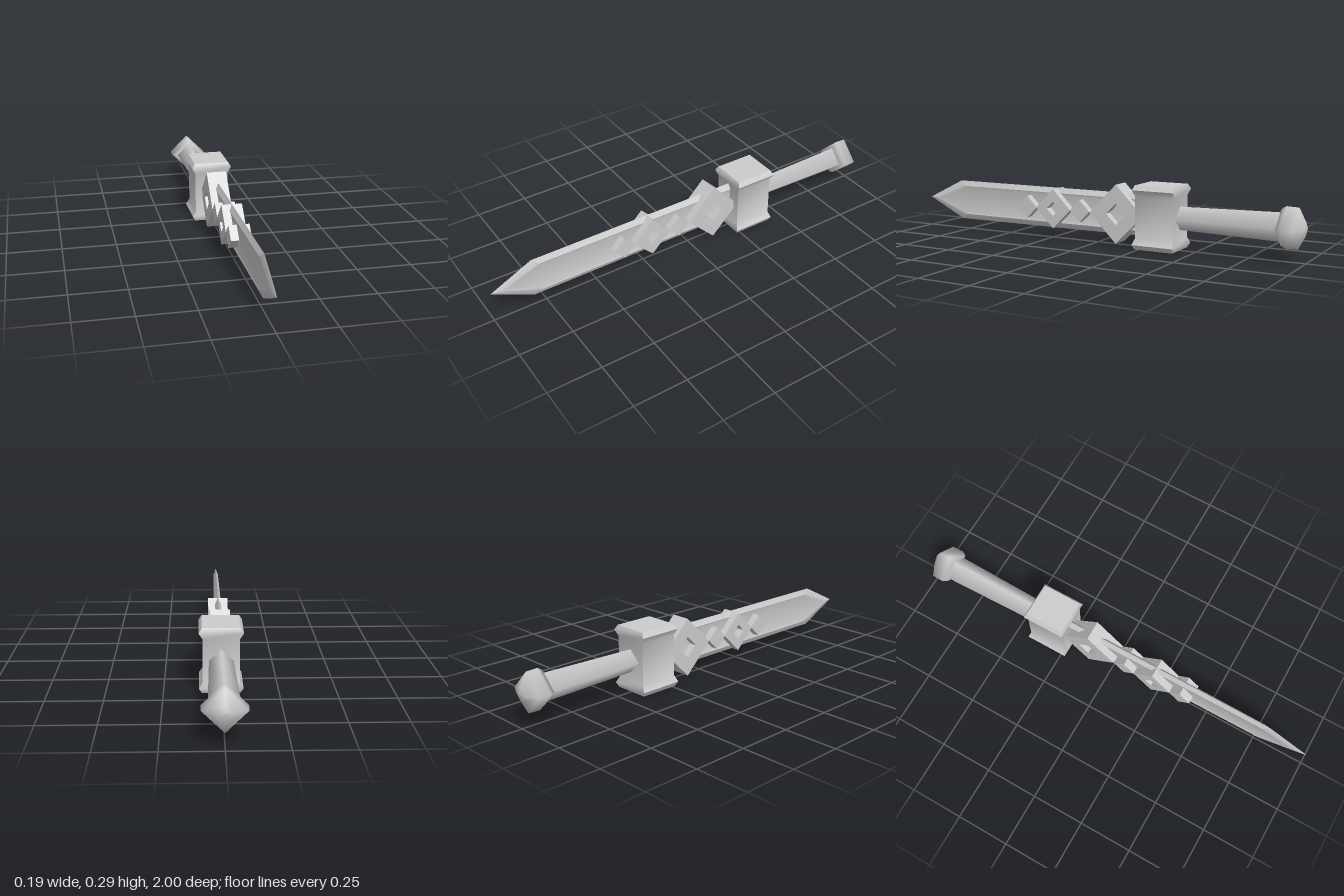
import * as THREE from 'three';
import { toCreasedNormals } from 'three/addons/utils/BufferGeometryUtils.js';

const CY = 0.147; // height of the sword's axis
const steel = new THREE.MeshStandardMaterial({ color: 0xcccccc });
steel.name = 'steel grey';

function add(group, name, geometry, y = 0, z = 0) {
  const mesh = new THREE.Mesh(geometry, steel);
  mesh.name = name;
  mesh.position.set(0, y, z);
  group.add(mesh);
}

function fromTriangles(positions, crease) {
  const g = new THREE.BufferGeometry();
  g.setAttribute('position', new THREE.Float32BufferAttribute(positions, 3));
  return toCreasedNormals(g, crease);
}

// Four-sided turned part along z; profile is [radius, z] from back to front
function turned(profile) {
  const g = new THREE.LatheGeometry(profile.map(([r, z]) => new THREE.Vector2(r, z)), 4);
  return g.rotateX(Math.PI / 2);
}

// Blade: sharp outline, raised ridge and sunken centre panel on both sides
function bladeGeometry() {
  const pos = [];
  const ring = (half, shoulder, tip, xs) => [
    [xs[0], -half, -0.25], [xs[1], -half, shoulder], [xs[2], 0, tip],
    [xs[1], half, shoulder], [xs[0], half, -0.25],
  ];
  const rings = [
    ring(0.097, 0.8, 1, [0, 0, 0]),
    ring(0.072, 0.77, 0.95, [0.017, 0.012, 0.008]),
    ring(0.062, 0.76, 0.92, [0.013, 0.009, 0.006]),
  ];
  for (const side of [1, -1]) {
    const tri = (a, b, c) => {
      for (const p of side > 0 ? [a, b, c] : [a, c, b]) pos.push(p[0] * side, p[1], p[2]);
    };
    for (let r = 0; r < 2; r++) {
      const o = rings[r], n = rings[r + 1];
      for (let i = 0; i < 4; i++) {
        tri(o[i + 1], o[i], n[i]);
        tri(o[i + 1], n[i], n[i + 1]);
      }
    }
    const p = rings[2];
    tri(p[0], p[4], p[1]);
    tri(p[1], p[4], p[3]);
    tri(p[1], p[3], p[2]);
  }
  return fromTriangles(pos, 0.6);
}

// Guard: square block with flared rims at top and bottom
function guardGeometry() {
  const levels = [
    [0.083, 0, 0.093], [0.096, 0.022, 0.103], [0.08, 0.05, 0.093],
    [0.08, 0.244, 0.093], [0.096, 0.272, 0.103], [0.083, 0.294, 0.093],
  ].map(([x, y, z]) => [[x, y, z], [x, y, -z], [-x, y, -z], [-x, y, z]]);
  const pos = [];
  const quad = (a, b, c, d) => pos.push(...a, ...b, ...c, ...a, ...c, ...d);
  for (let l = 0; l < 5; l++) {
    for (let i = 0; i < 4; i++) {
      const j = (i + 1) % 4;
      quad(levels[l][i], levels[l][j], levels[l + 1][j], levels[l + 1][i]);
    }
  }
  quad(...levels[5]);
  quad(...[...levels[0]].reverse());
  return fromTriangles(pos, 1.0);
}

// Diamond block through the blade, optionally with a diamond hole
function diamondGeometry(half, hole) {
  const corners = (h) => [[h, 0], [0, h], [-h, 0], [0, -h]].map(([x, y]) => new THREE.Vector2(x, y));
  const shape = new THREE.Shape(corners(half));
  if (hole) shape.holes.push(new THREE.Path(corners(hole).reverse()));
  const g = new THREE.ExtrudeGeometry(shape, { depth: 0.094, bevelEnabled: false });
  return g.translate(0, 0, -0.047).rotateY(Math.PI / 2);
}

export function createModel() {
  const sword = new THREE.Group();
  sword.name = 'sword';

  add(sword, 'blade', bladeGeometry(), CY);
  add(sword, 'guard', guardGeometry(), 0, -0.328);
  add(sword, 'grip', turned([[0.064, -0.9], [0.053, -0.42]]), CY);
  add(sword, 'pommel', turned([
    [0, -1], [0.03, -0.996], [0.09, -0.965], [0.092, -0.91], [0.078, -0.887], [0, -0.885],
  ]), CY);

  // Ornament chain along the blade: [name, z, half diagonal, hole]
  const ornaments = [
    ['largeDiamond', -0.118, 0.138, 0.05],
    ['rearSmallDiamond', 0.075, 0.053, 0],
    ['middleDiamond', 0.222, 0.095, 0.035],
    ['frontSmallDiamond', 0.368, 0.053, 0],
  ];
  for (const [name, z, half, hole] of ornaments) add(sword, name, diamondGeometry(half, hole), CY, z);

  return sword;
}
